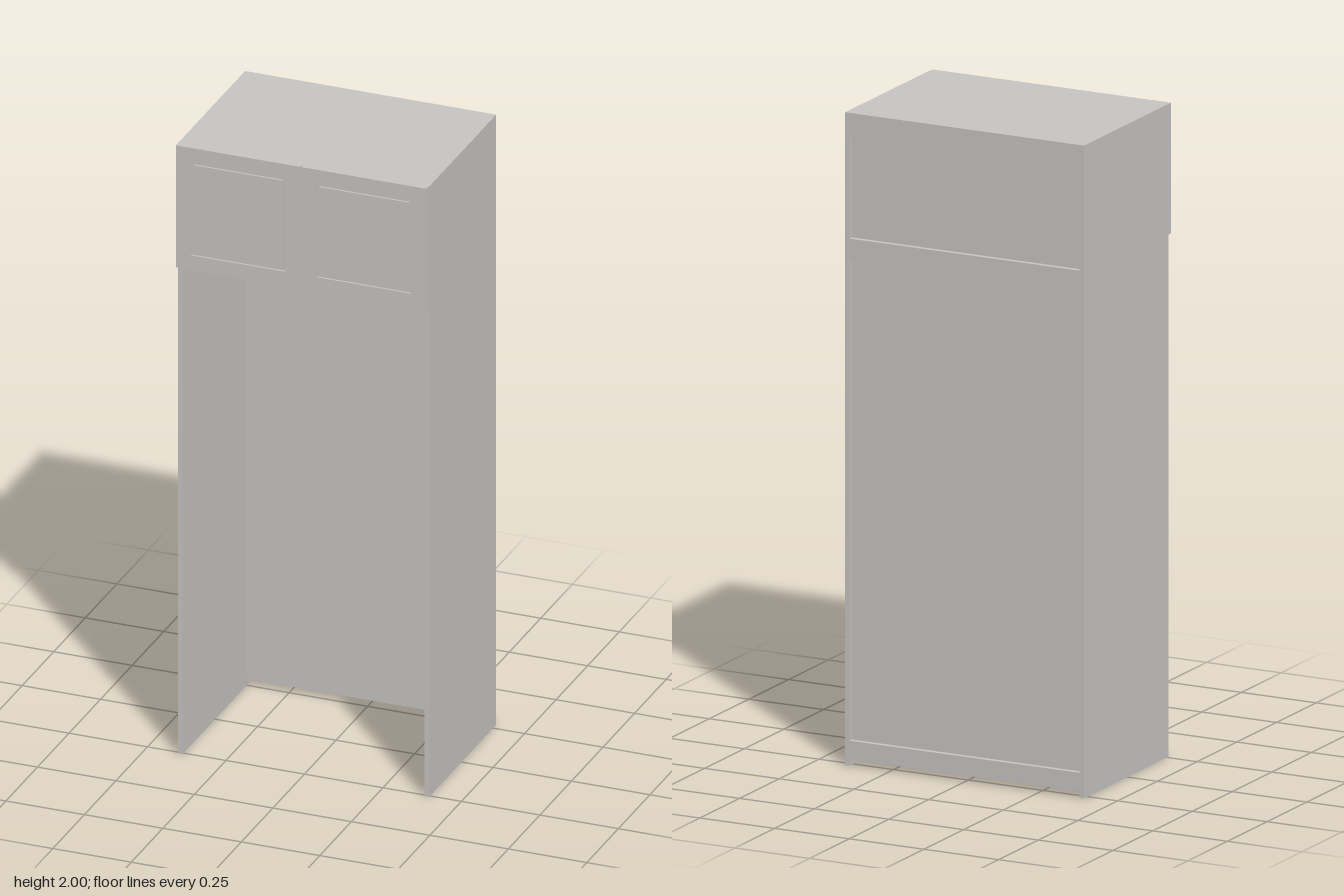
import * as THREE from 'three';

export function createModel() {
  const model = new THREE.Group();
  model.name = 'tallCabinet';
  const panelGrey = new THREE.MeshStandardMaterial({ color: 0xc8c6c3 });
  panelGrey.name = 'panelGrey';

  // Box given by its lower and upper corner
  const box = (name, [x0, y0, z0], [x1, y1, z1], parent = model) => {
    const mesh = new THREE.Mesh(new THREE.BoxGeometry(x1 - x0, y1 - y0, z1 - z0), panelGrey);
    mesh.position.set((x0 + x1) / 2, (y0 + y1) / 2, (z0 + z1) / 2);
    mesh.name = name;
    parent.add(mesh);
    return mesh;
  };

  const W = 0.4, T = 0.015, back = -0.274, front = 0.258, doorFace = 0.274;
  const inner = W - T;

  // Carcass: full-height sides, top and cabinet floor
  box('leftSide', [inner, 0, back], [W, 2, front]);
  box('rightSide', [-W, 0, back], [-inner, 2, front]);
  box('topPanel', [-inner, 1.985, back], [inner, 2, front]);
  box('cabinetFloor', [-inner, 1.6, back + 0.016], [inner, 1.615, front]);

  // Back: one recessed sheet with three rails behind it
  box('backPanel', [-inner, 0.02, back + 0.016], [inner, 1.985, back + 0.022]);
  [['bottomRail', 0.02, 0.077], ['middleRail', 1.55, 1.615], ['topRail', 1.923, 1.985]]
    .forEach(([name, y0, y1]) => box(name, [-inner, y0, back], [inner, y1, back + 0.016]));

  // Doors: frame with a grooved centre panel
  const rect = (Shape, x0, y0, x1, y1) => {
    const s = new Shape();
    s.moveTo(x0, y0);
    s.lineTo(x1, y0);
    s.lineTo(x1, y1);
    s.lineTo(x0, y1);
    s.closePath();
    return s;
  };
  const addDoor = (name, x0, x1) => {
    const door = new THREE.Group();
    door.name = name;
    const y0 = 1.6, y1 = 2, border = 0.048, groove = 0.007, depth = 0.006;
    const base = doorFace - depth;
    box(name + 'Board', [x0, y0, front], [x1, y1, base], door);
    const outline = rect(THREE.Shape, x0, y0, x1, y1);
    outline.holes.push(rect(THREE.Path, x0 + border, y0 + border, x1 - border, y1 - border));
    const frame = new THREE.Mesh(
      new THREE.ExtrudeGeometry(outline, { depth, bevelEnabled: false }), panelGrey);
    frame.position.z = base;
    frame.name = name + 'Frame';
    door.add(frame);
    const inset = border + groove;
    box(name + 'CentrePanel', [x0 + inset, y0 + inset, base],
      [x1 - inset, y1 - inset, doorFace], door);
    model.add(door);
  };
  addDoor('rightDoor', -W, -0.003);
  addDoor('leftDoor', 0, 0.397);

  return model;
}
